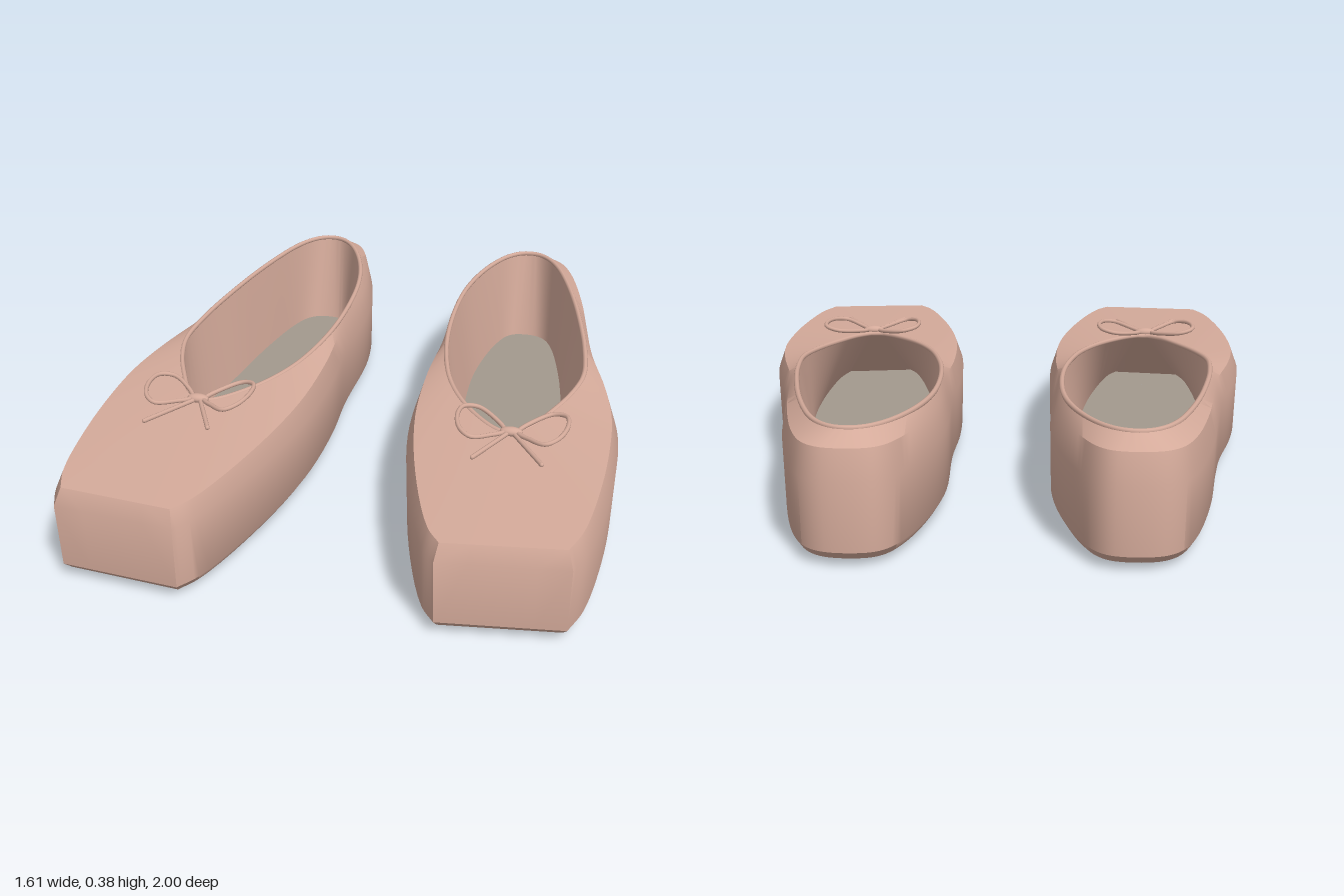
import * as THREE from 'three';
import { toCreasedNormals } from 'three/addons/utils/BufferGeometryUtils.js';

const pink = new THREE.MeshStandardMaterial({ color: 0xd4aa9a });
pink.name = 'dusty pink';
const grey = new THREE.MeshStandardMaterial({ color: 0xa3998d });
grey.name = 'insole grey';
const brown = new THREE.MeshStandardMaterial({ color: 0x79574d });
brown.name = 'sole brown';

// Plan of the left shoe, from the outer toe corner round the heel to the inner
// toe corner: outline x, z and the matching point on the opening x, z
const PLAN = [
  [0.73, 0.955, 0.50, 0.385], [0.765, 0.86, 0.52, 0.367], [0.795, 0.65, 0.547, 0.335],
  [0.807, 0.42, 0.59, 0.25], [0.80, 0.22, 0.64, 0.13], [0.765, 0.03, 0.67, 0],
  [0.705, -0.185, 0.66, -0.17], [0.675, -0.34, 0.635, -0.33], [0.63, -0.61, 0.575, -0.60],
  [0.56, -0.87, 0.50, -0.82], [0.51, -0.96, 0.45, -0.89], [0.45, -0.997, 0.41, -0.913],
  [0.33, -0.997, 0.36, -0.91], [0.28, -0.965, 0.31, -0.87], [0.23, -0.87, 0.255, -0.77],
  [0.18, -0.69, 0.21, -0.62], [0.155, -0.5, 0.19, -0.46], [0.16, -0.185, 0.193, -0.22],
  [0.15, 0.05, 0.217, -0.04], [0.165, 0.34, 0.26, 0.12], [0.23, 0.66, 0.33, 0.255],
  [0.32, 0.93, 0.42, 0.36], [0.365, 0.995, 0.46, 0.387],
];
const STEPS = 110;

// Smooth sides and heel; the straight toe closes the loop
function samplePlan(ix) {
  const curve = new THREE.CatmullRomCurve3(
    PLAN.map((p) => new THREE.Vector3(p[ix], 0, p[ix + 1])), false, 'centripetal');
  const pts = [];
  for (let i = 0; i <= STEPS; i++) pts.push(curve.getPoint(i / STEPS));
  for (let i = 1; i < 4; i++) pts.push(pts[STEPS].clone().lerp(pts[0], i / 4));
  return pts;
}
const OUTLINE = samplePlan(0);
const RIM = samplePlan(2);
RIM.forEach((p) => { p.y = 0.336 - 0.042 * p.z; });

const centreX = (z) => 0.44 + 0.075 * z + 0.03 * z * z;

// Outline narrowed about the centreline, shortened, and set at a height
function ring(kx, kz, y, shift = 0) {
  return OUTLINE.map((p) => {
    const z = p.z * kz + shift;
    return new THREE.Vector3(
      centreX(z) + (p.x - centreX(p.z)) * kx, typeof y === 'function' ? y(z) : y, z);
  });
}

// Skin a stack of rings, mirrored for the right shoe
function skin(rings, side, crease = 0.6) {
  const n = OUTLINE.length;
  const pos = [];
  const index = [];
  for (const r of rings) for (const p of r) pos.push(p.x * side, p.y, p.z);
  for (let j = 0; j < rings.length - 1; j++) {
    for (let i = 0; i < n; i++) {
      const a = j * n + i, b = j * n + (i + 1) % n, c = b + n, d = a + n;
      if (side > 0) index.push(a, b, c, a, c, d);
      else index.push(a, c, b, a, d, c);
    }
  }
  const geo = new THREE.BufferGeometry();
  geo.setAttribute('position', new THREE.Float32BufferAttribute(pos, 3));
  geo.setIndex(index);
  return toCreasedNormals(geo, crease);
}

function add(group, name, geo, material) {
  const mesh = new THREE.Mesh(geo, material);
  mesh.name = name;
  group.add(mesh);
  return mesh;
}

function createBow(side) {
  const bow = new THREE.Group();
  bow.name = 'bow';
  const cx = 0.49 * side;
  const loop = [[0.02, 0.40], [0.06, 0.34], [0.115, 0.302], [0.155, 0.32],
    [0.166, 0.385], [0.145, 0.46], [0.11, 0.487], [0.06, 0.45]];
  for (const s of [-1, 1]) {
    // Raised loop
    const path = new THREE.CatmullRomCurve3(loop.map(([dx, z]) =>
      new THREE.Vector3(cx + s * dx, 0.325 + 0.2 * dx, z)), true);
    add(bow, 'bowLoop', new THREE.TubeGeometry(path, 48, 0.007, 8, true), pink);
    // Loose tail
    const end = new THREE.Vector3(cx + s * 0.1 + 0.01 * side, 0.33, 0.575);
    const tail = new THREE.LineCurve3(new THREE.Vector3(cx + s * 0.01, 0.326, 0.41), end);
    add(bow, 'bowTail', new THREE.TubeGeometry(tail, 1, 0.007, 8), pink);
    add(bow, 'tailTip', new THREE.SphereGeometry(0.007, 8, 6), pink).position.copy(end);
  }
  const knot = add(bow, 'bowKnot', new THREE.SphereGeometry(1, 16, 10), pink);
  knot.scale.set(0.035, 0.014, 0.018);
  knot.position.set(cx, 0.329, 0.4);
  return bow;
}

function createShoe(side) {
  const shoe = new THREE.Group();
  shoe.name = side > 0 ? 'leftShoe' : 'rightShoe';

  // Underside, side wall, vamp and heel top, up to the opening
  add(shoe, 'upper', skin([
    ring(0.55, 0.78, 0.02, -0.03),
    ring(0.93, 0.97, 0.02),
    ring(0.985, 0.994, 0.045),
    ring(1, 1, 0.245),
    ring(0.93, 0.977, (z) => 0.315 - 0.021 * z),
    RIM,
  ], side), pink);

  // Lining and insole
  const floor = ring(0.65, 0.845, 0.06);
  add(shoe, 'lining', skin([RIM, floor], side, 1), pink);
  add(shoe, 'insole', skin([floor, ring(0, 0.78, 0.06)], side), grey);

  // Piping round the opening
  const rimPath = new THREE.CatmullRomCurve3(
    RIM.filter((p, i) => i % 2 === 0).map((p) => new THREE.Vector3(p.x * side, p.y - 0.003, p.z)), true);
  add(shoe, 'piping', new THREE.TubeGeometry(rimPath, 160, 0.008, 8, true), pink);

  // Thin outsole
  add(shoe, 'sole', skin([
    ring(0, 0.76, 0, -0.03),
    ring(0.6, 0.81, 0, -0.03),
    ring(0.63, 0.825, 0.008, -0.03),
    ring(0.63, 0.825, 0.021, -0.03),
  ], side), brown);

  shoe.add(createBow(side));
  return shoe;
}

export function createModel() {
  const model = new THREE.Group();
  model.name = 'balletFlats';
  model.add(createShoe(1), createShoe(-1));
  return model;
}
